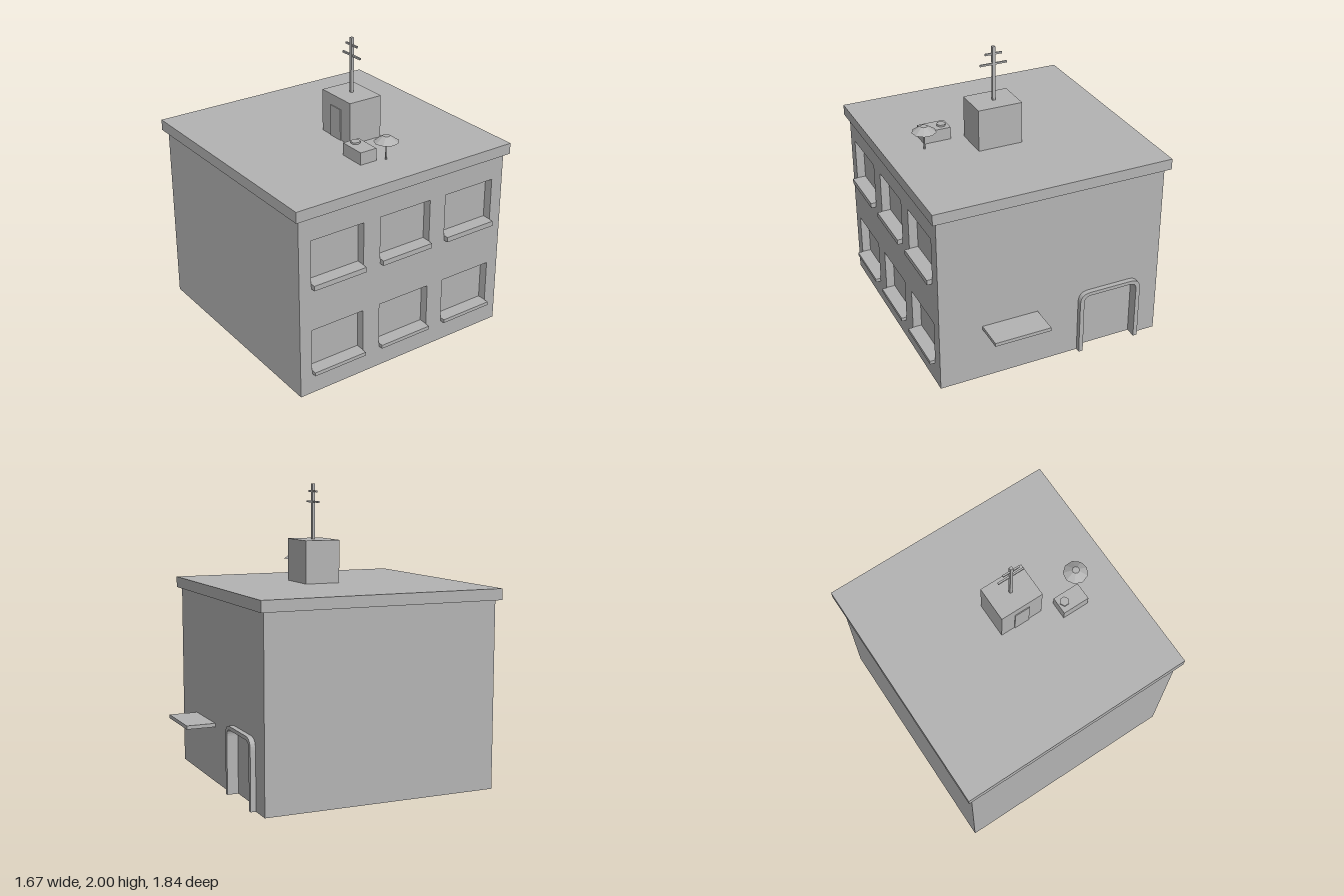
import * as THREE from 'three';

const plaster = new THREE.MeshStandardMaterial({ color: 0xb3b3b3 });
plaster.name = 'grey plaster';

export function createModel() {
  const model = new THREE.Group();
  model.name = 'flatRoofBuilding';

  function add(name, geometry, x = 0, y = 0, z = 0, parent = model) {
    const mesh = new THREE.Mesh(geometry, plaster);
    mesh.name = name;
    mesh.position.set(x, y, z);
    parent.add(mesh);
    return mesh;
  }
  // Box given by its minimum and maximum on each axis
  const box = (name, x0, x1, y0, y1, z0, z1, parent) =>
    add(name, new THREE.BoxGeometry(x1 - x0, y1 - y0, z1 - z0),
      (x0 + x1) / 2, (y0 + y1) / 2, (z0 + z1) / 2, parent);
  const extrude = (shape, depth) =>
    new THREE.ExtrudeGeometry(shape, { depth, bevelEnabled: false, curveSegments: 6 });
  const rectangle = (path, x0, x1, y0, y1) =>
    path.moveTo(x0, y0).lineTo(x1, y0).lineTo(x1, y1).lineTo(x0, y1).closePath();
  // Doorway outline with rounded top corners, from left foot to right foot
  const arch = (path, x0, x1, top, r) => path
    .lineTo(x0, 0).lineTo(x0, top - r).quadraticCurveTo(x0, top, x0 + r, top)
    .lineTo(x1 - r, top).quadraticCurveTo(x1, top, x1, top - r).lineTo(x1, 0);

  // Main block and roof slab
  const wallTop = 1.26, recess = 0.06, doorRecess = 0.04;
  box('body', -0.8, 0.8 - recess, 0, wallTop, -0.72 + doorRecess, 0.89);
  box('roofSlab', -0.835, 0.83, wallTop, 1.335, -0.75, 0.92);

  // Side wall with recessed windows and projecting sills
  const sideWall = new THREE.Shape();
  rectangle(sideWall, -0.89, 0.72 - doorRecess, 0, wallTop);
  for (const z of [0.607, 0.085, -0.435]) {
    for (const [bottom, sillTop, top] of [[0.145, 0.17, 0.465], [0.765, 0.8, 1.095]]) {
      const hole = new THREE.Path();
      rectangle(hole, -z - 0.197, -z + 0.197, sillTop, top);
      sideWall.holes.push(hole);
      box('windowSill', 0.79, 0.835, bottom, sillTop, z - 0.195, z + 0.195);
    }
  }
  add('windowWall', extrude(sideWall, recess), 0.8 - recess).rotation.y = Math.PI / 2;

  // Back wall with door notch
  const backWall = new THREE.Shape().moveTo(-0.8, 0);
  arch(backWall, -0.62, -0.225, 0.44, 0.05);
  backWall.lineTo(0.8, 0).lineTo(0.8, wallTop).lineTo(-0.8, wallTop).closePath();
  add('backWall', extrude(backWall, doorRecess), 0, 0, -0.72);

  // Door surround
  const surround = new THREE.Shape().moveTo(-0.65, 0);
  arch(surround, -0.65, -0.195, 0.465, 0.075);
  surround.lineTo(-0.225, 0).lineTo(-0.225, 0.39).quadraticCurveTo(-0.225, 0.44, -0.275, 0.44)
    .lineTo(-0.57, 0.44).quadraticCurveTo(-0.62, 0.44, -0.62, 0.39).lineTo(-0.62, 0).closePath();
  add('doorSurround', extrude(surround, 0.035), 0, 0, -0.755);
  box('canopy', 0.105, 0.5, 0.38, 0.405, -0.92, -0.72);

  // Stair house with door plate
  box('stairHouse', -0.06, 0.25, 1.335, 1.625, -0.125, 0.12);
  box('stairHouseDoor', 0.04, 0.15, 1.335, 1.55, 0.12, 0.126);

  // Antenna
  const antenna = new THREE.Group();
  antenna.name = 'antenna';
  antenna.position.set(0.09, 0, -0.007);
  model.add(antenna);
  box('mast', -0.01, 0.01, 1.625, 2, -0.01, 0.01, antenna);
  box('lowerBar', -0.095, 0.095, 1.873, 1.885, -0.006, 0.006, antenna);
  box('upperBar', -0.06, 0.06, 1.943, 1.955, -0.006, 0.006, antenna);

  // Roof unit with hexagonal cap
  box('roofUnit', 0.345, 0.535, 1.335, 1.42, 0.12, 0.243);
  add('roofUnitCap', new THREE.CylinderGeometry(0.033, 0.033, 0.012, 6).rotateY(Math.PI / 6),
    0.39, 1.426, 0.178);

  // Vent with sloping hood
  add('ventPole', new THREE.CylinderGeometry(0.006, 0.006, 0.13, 8), 0.557, 1.4, 0.06);
  const hood = new THREE.CylinderGeometry(0.024, 0.083, 0.04, 9).toNonIndexed();
  hood.computeVertexNormals();
  add('ventHood', hood, 0.557, 1.48, 0.06);

  return model;
}
